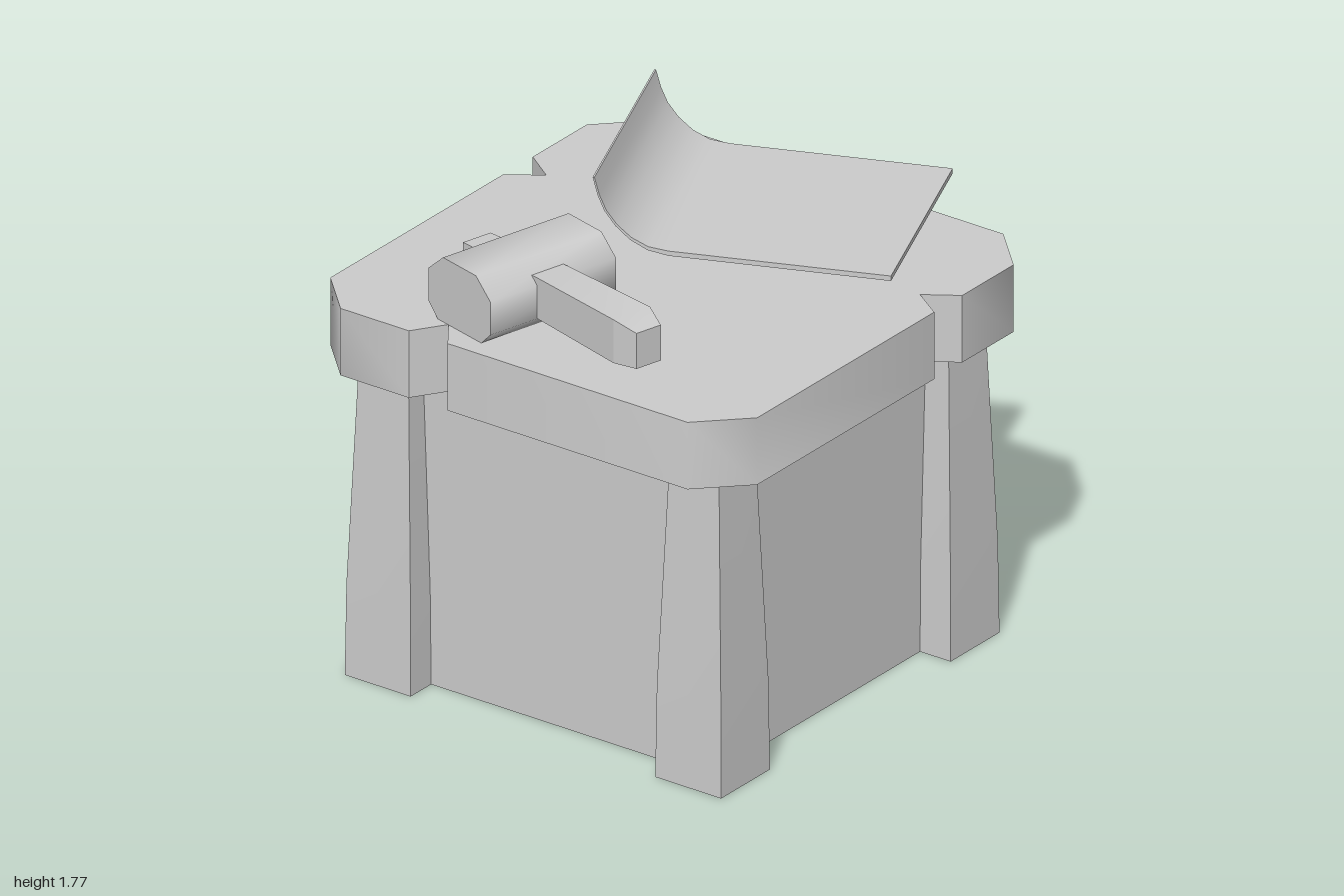
import * as THREE from 'three';
import { toCreasedNormals } from 'three/addons/utils/BufferGeometryUtils.js';

const stone = new THREE.MeshStandardMaterial({ color: 0xcccccc });
stone.name = 'plain grey';

function add(parent, name, geometry, x = 0, y = 0, z = 0) {
  const mesh = new THREE.Mesh(geometry, stone);
  mesh.name = name;
  mesh.position.set(x, y, z);
  parent.add(mesh);
  return mesh;
}

function extrude(points, depth) {
  const shape = new THREE.Shape(points.map(([x, y]) => new THREE.Vector2(x, y)));
  return new THREE.ExtrudeGeometry(shape, { depth, bevelEnabled: false });
}

// Extrudes a (z, y) section along x, centred on x = 0
function extrudeAlongX(points, width) {
  const g = extrude(points, width);
  g.translate(0, 0, -width / 2).rotateY(-Math.PI / 2);
  return toCreasedNormals(g, 0.9);
}

// Leg that narrows upward, staying straight near the foot
function legGeometry() {
  const g = new THREE.BoxGeometry(1, 1.21, 1, 1, 2, 1);
  const p = g.attributes.position;
  for (let i = 0; i < p.count; i++) {
    const level = Math.round((p.getY(i) + 0.605) / 0.605);
    const width = [0.28, 0.272, 0.21][level];
    p.setXYZ(i, p.getX(i) * width, [0, 0.35, 1.21][level], p.getZ(i) * width);
  }
  return toCreasedNormals(g, 0.5);
}

// Handle lofted through rectangles: [z, half width, bottom, top]
function handleGeometry() {
  const sections = [
    [-0.25, 0.06, 1.51, 1.63], [0.17, 0.07, 1.505, 1.66],
    [0.6, 0.08, 1.505, 1.67], [0.693, 0.053, 1.51, 1.645],
  ];
  const g = new THREE.BoxGeometry(2, 2, 3, 1, 1, 3);
  const p = g.attributes.position;
  for (let i = 0; i < p.count; i++) {
    const [z, half, low, high] = sections[Math.round(p.getZ(i) + 1.5)];
    p.setXYZ(i, p.getX(i) * half, p.getY(i) > 0 ? high : low, z);
  }
  return toCreasedNormals(g, 0.3);
}

export function createModel() {
  const model = new THREE.Group();
  model.name = 'workbench';
  const cx = -0.0975;

  // Chamfered slab with three notches, listed as (x, z)
  const outline = [
    [-0.83, 0.905], [0.185, 0.905], [0.265, 0.785], [0.345, 0.905], [0.64, 0.905],
    [0.81, 0.735], [0.81, -0.74], [0.64, -0.91], [0.33, -0.91], [0.245, -0.79],
    [0.16, -0.91], [-0.83, -0.91], [-1, -0.74], [-1, -0.45], [-0.88, -0.37],
    [-1, -0.285], [-1, 0.735],
  ];
  const slab = extrude(outline.map(([x, z]) => [x, -z]), 0.255).rotateX(-Math.PI / 2);
  add(model, 'tableTop', toCreasedNormals(slab, 0.9), 0, 1.2, 0);

  // Block body with four corner legs
  add(model, 'body', new THREE.BoxGeometry(1.36, 1.21, 1.34), cx, 0.605, 0);
  const leg = legGeometry();
  for (const sx of [-1, 1]) {
    for (const sz of [-1, 1]) {
      add(model, (sz > 0 ? 'front' : 'back') + (sx > 0 ? 'Left' : 'Right') + 'Leg',
        leg, cx + sx * 0.6575, 0, sz * 0.66);
    }
  }

  // Mallet lying on the bench
  const mallet = new THREE.Group();
  mallet.name = 'mallet';
  mallet.position.set(-0.633, 0, -0.24);
  mallet.rotation.y = -0.26;
  model.add(mallet);
  const headSection = [
    [-0.12, 1.455], [0.12, 1.455], [0.17, 1.505], [0.17, 1.63],
    [0.09, 1.7], [-0.09, 1.7], [-0.17, 1.63], [-0.17, 1.505],
  ];
  add(mallet, 'malletHead', extrudeAlongX(headSection, 0.548));
  add(mallet, 'malletHandle', handleGeometry());

  // Thin sheet curling up at the back: [distance from back edge, height, thickness]
  const curl = [
    [0, 1.775, 0.006], [0.018, 1.71, 0.008], [0.042, 1.655, 0.01], [0.08, 1.605, 0.012],
    [0.13, 1.562, 0.014], [0.19, 1.534, 0.016], [0.26, 1.526, 0.018], [1.045, 1.526, 0.019],
  ];
  const upper = curl.map(([v, y]) => [v - 0.5225, y]);
  const lower = curl.map(([v, y, t], i) => {
    const steep = 1 - Math.min(1, i / 6);
    return [v - 0.5225 - t * steep, y - t * (1 - steep)];
  });
  const sheet = add(model, 'curledSheet', extrudeAlongX([...lower, ...upper.reverse()], 0.857),
    0.4025, 0, 0.06);
  sheet.rotation.y = 0.39;

  return model;
}
